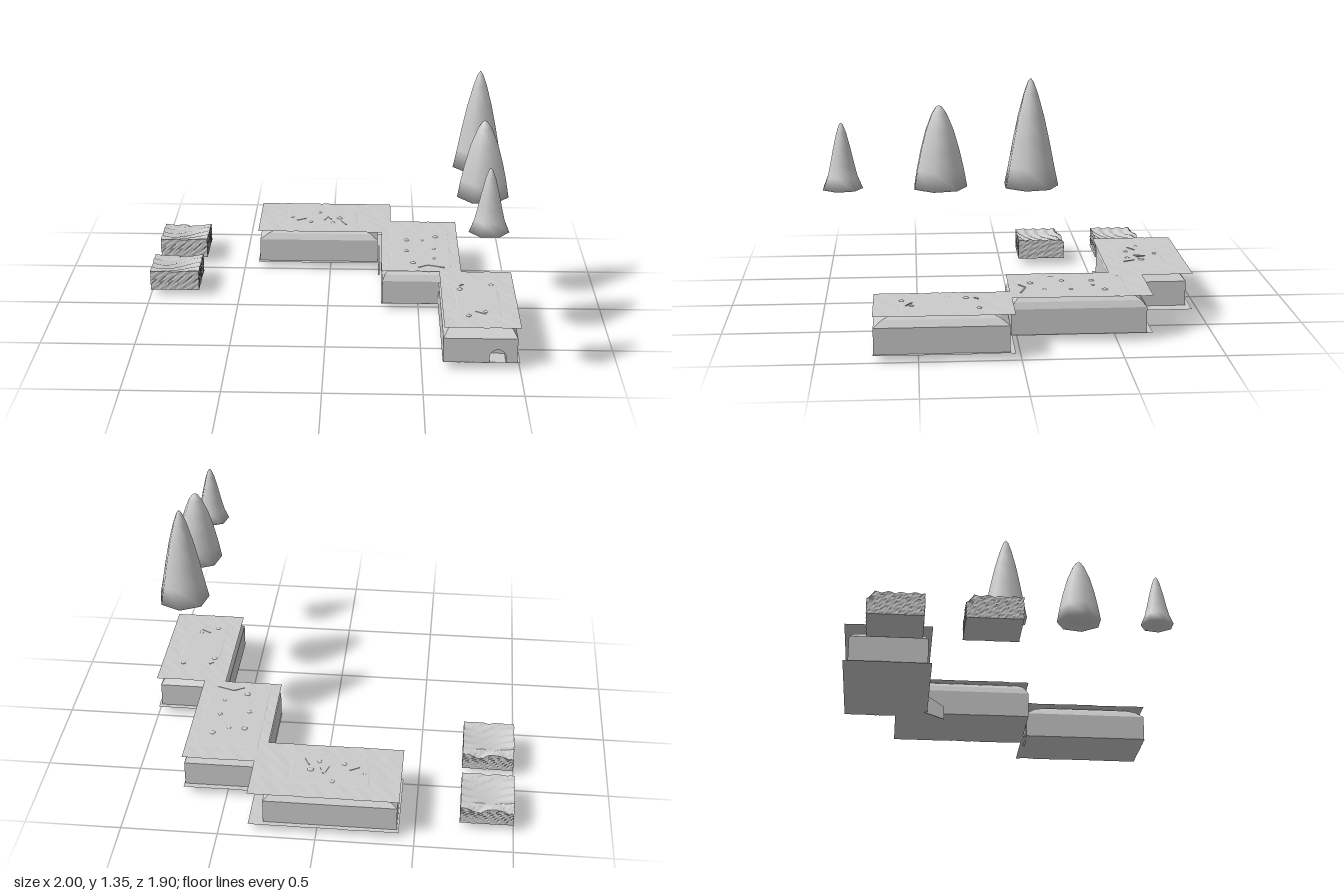
import * as THREE from 'three';

const mat = (extra = {}) => new THREE.MeshStandardMaterial({ color: 0xcccccc, ...extra });
const flat = mat({ flatShading: true });
const open = mat({ flatShading: true, side: THREE.DoubleSide });
const smooth = mat();

const FLOOR = 0.036, WALL = 0.17, ROOF = 0.231;

// Plate and room extents are [x0, x1, z0, z1]; inset is how far the vault steps in on each side
const rooms = [
  { name: 'backRoom', plate: [-0.42, 0.35, -0.95, -0.51], body: [-0.41, 0.275, -0.925, -0.53],
    inset: [0.16, 0.13, 0.09, 0.06], stones: [[0.05, -0.72, 1.1], [-0.12, -0.66, 0.8], [0.01, -0.65, 0.8], [-0.07, -0.81, 0.8], [-0.23, -0.73, 0.6]],
    ridges: [[-0.2, -0.68, -0.15, -0.71], [-0.04, -0.69, -0.02, -0.75], [-0.02, -0.75, 0, -0.7], [0.06, -0.68, 0.09, -0.62]] },
  { name: 'middleRoom', plate: [0.295, 0.73, -0.68, 0.035], body: [0.3, 0.725, -0.65, 0.035],
    inset: [0.05, 0.05, 0.09, 0.06], stones: [[0.44, -0.4, 1], [0.525, -0.4, 0.7], [0.605, -0.45, 1], [0.435, -0.245, 0.9], [0.59, -0.28, 0.7], [0.585, -0.145, 0.7], [0.47, -0.08, 1]],
    ridges: [[0.5, -0.02, 0.55, -0.05], [0.55, -0.05, 0.64, -0.02]] },
  { name: 'frontRoom', plate: [0.61, 1, 0.03, 0.72], body: [0.607, 0.985, 0.055, 0.718],
    inset: [0.08, 0.08, 0.15, 0.14], stones: [[0.71, 0.26, 1], [0.74, 0.58, 0.9], [0.88, 0.2, 0.8], [0.83, 0.53, 0.8]],
    ridges: [[0.71, 0.22, 0.73, 0.2], [0.78, 0.53, 0.83, 0.56]], arch: { x: 0.885, r: 0.042, h: 0.03 } },
];

const noise = (x, z) => Math.sin(x * 41 + z * 17) * Math.sin(z * 37 - x * 11) + 0.5 * Math.sin(x * 83 - z * 71);

function add(group, name, geometry, material) {
  const mesh = new THREE.Mesh(geometry, material);
  mesh.name = name;
  group.add(mesh);
  return mesh;
}

// Walls and stepped vault, lofted through rectangles
function vaultGeometry([x0, x1, z0, z1], [a, b, c, d], openFront) {
  const steps = [[FLOOR + 0.001, 0], [WALL, 0], [0.203, 0.3], [0.222, 0.65], [ROOF + 0.001, 1]];
  const rings = steps.map(([y, t]) => [
    [x0 + a * t, y, z1 - d * t], [x1 - b * t, y, z1 - d * t],
    [x1 - b * t, y, z0 + c * t], [x0 + a * t, y, z0 + c * t]]);
  const pos = [];
  const quad = (p, q, r, s) => pos.push(...p, ...q, ...r, ...p, ...r, ...s);
  for (let i = 0; i < rings.length - 1; i++) {
    for (let k = 0; k < 4; k++) {
      if (openFront && i === 0 && k === 0) continue;
      const n = (k + 1) % 4;
      quad(rings[i][k], rings[i][n], rings[i + 1][n], rings[i + 1][k]);
    }
  }
  quad(...rings[rings.length - 1]);
  quad(...[...rings[0]].reverse());
  const g = new THREE.BufferGeometry();
  g.setAttribute('position', new THREE.Float32BufferAttribute(pos, 3));
  g.computeVertexNormals();
  return g;
}

// Thin, slightly uneven sheet
function plateGeometry([x0, x1, z0, z1], y, amp) {
  const w = x1 - x0, d = z1 - z0;
  const g = new THREE.PlaneGeometry(w, d, Math.round(w * 50), Math.round(d * 50));
  g.rotateX(-Math.PI / 2).translate((x0 + x1) / 2, y, (z0 + z1) / 2);
  const p = g.attributes.position;
  for (let i = 0; i < p.count; i++) p.setY(i, y + amp * noise(p.getX(i), p.getZ(i)));
  g.computeVertexNormals();
  return g;
}

// Arch outline standing on the floor
function archPath(path, { x, r, h }) {
  path.moveTo(x - r, FLOOR + 0.002);
  path.lineTo(x + r, FLOOR + 0.002);
  path.lineTo(x + r, FLOOR + h);
  path.absarc(x, FLOOR + h, r, 0, Math.PI, false);
  path.lineTo(x - r, FLOOR + 0.002);
  return path;
}

// Front wall pierced by an arched doorway with a shallow passage behind
function archedWall(group, [x0, x1, , z1], arch) {
  const wall = new THREE.Shape();
  wall.moveTo(x0, FLOOR).lineTo(x1, FLOOR).lineTo(x1, WALL).lineTo(x0, WALL).closePath();
  wall.holes.push(archPath(new THREE.Path(), arch));
  add(group, 'doorwayWall', new THREE.ShapeGeometry(wall), open).position.z = z1;
  const outline = archPath(new THREE.Shape(), arch).getPoints(8);
  const pos = [], depth = 0.1;
  for (let i = 0; i < outline.length - 1; i++) {
    const p = outline[i], q = outline[i + 1];
    pos.push(p.x, p.y, z1, q.x, q.y, z1, q.x, q.y, z1 - depth);
    pos.push(p.x, p.y, z1, q.x, q.y, z1 - depth, p.x, p.y, z1 - depth);
  }
  const passage = new THREE.BufferGeometry();
  passage.setAttribute('position', new THREE.Float32BufferAttribute(pos, 3));
  passage.computeVertexNormals();
  add(group, 'doorwayPassage', passage, open);
  add(group, 'doorwayEnd', new THREE.ShapeGeometry(archPath(new THREE.Shape(), arch)), open).position.z = z1 - depth;
}

function buildRoom({ name, plate, body, inset, stones, ridges, arch }) {
  const room = new THREE.Group();
  room.name = name;
  add(room, 'vault', vaultGeometry(body, inset, !!arch), flat);
  if (arch) archedWall(room, body, arch);
  add(room, 'floorPlate', plateGeometry(plate, FLOOR, 0.0012), open);
  add(room, 'roofPlate', plateGeometry(plate, ROOF, 0.0012), open);
  // Pebbles and cracks on the roof
  for (const [x, z, s] of stones) {
    const m = add(room, 'stone', new THREE.SphereGeometry(0.016 * s, 10, 6), smooth);
    m.position.set(x, ROOF, z);
    m.scale.y = 0.45;
  }
  for (const [xa, za, xb, zb] of ridges) {
    const m = add(room, 'ridge', new THREE.BoxGeometry(Math.hypot(xb - xa, zb - za), 0.008, 0.008), flat);
    m.position.set((xa + xb) / 2, ROOF, (za + zb) / 2);
    m.rotation.y = -Math.atan2(zb - za, xb - xa);
  }
  return room;
}

// Rough block with a rippled, hollowed top
function blockGeometry(w, h, d) {
  const g = new THREE.BoxGeometry(w, h, d, 22, 10, 22);
  const p = g.attributes.position;
  for (let i = 0; i < p.count; i++) {
    const x = p.getX(i), y = p.getY(i), z = p.getZ(i);
    const u = 2 * x / w, v = 2 * z / d;
    const j = 0.004 * Math.abs(Math.sin(x * 311 + y * 457 + z * 233) * Math.sin(y * 391 - z * 173 + x * 127));
    const t = (y + h / 2) / h;
    const dip = 0.022 * (1 - u * u) * (1 - v * v) + 0.004 * (1 + Math.sin(v * 14 + u * 4 + 2 * Math.sin(u * 3)))
      + 0.035 * Math.max(0, -v - 0.75) * 4 * (0.7 + 0.3 * Math.sin(u * 5));
    p.setXYZ(i, x * (1 - j / w * 2), y - dip * t * t * t, z * (1 - j / d * 2));
  }
  g.computeVertexNormals();
  return g;
}

// Seven-sided conifer from [radius, height] points
function treeGeometry(profile) {
  return new THREE.LatheGeometry(profile.map(([r, y]) => new THREE.Vector2(r, y)), 7, Math.PI);
}

export function createModel() {
  const model = new THREE.Group();
  model.name = 'caveRooms';
  for (const r of rooms) model.add(buildRoom(r));

  // Slabs hanging in the gaps between rooms
  const slab = new THREE.Shape();
  slab.moveTo(-0.53, 0.036).lineTo(-0.42, 0).lineTo(-0.42, 0.07).lineTo(-0.53, 0.14).closePath();
  const slabGeo = new THREE.ExtrudeGeometry(slab, { depth: 0.008, bevelEnabled: false });
  slabGeo.rotateY(-Math.PI / 2);
  add(model, 'sidePassageSlab', slabGeo, flat).position.x = 0.286;
  add(model, 'frontPassageSlab', new THREE.BoxGeometry(0.09, 0.1, 0.012), flat).position.set(0.665, 0.06, 0.047);

  // Rough blocks
  for (const z of [-0.7, -0.242]) {
    add(model, 'roughBlock', blockGeometry(0.275, 0.115, 0.272), flat).position.set(-0.8625, 0.0935, z);
  }

  // Conifers floating above the rooms
  const trees = [
    ['tallTree', -0.053, [[0, 0], [0.136, 0], [0.115, 0.1], [0.092, 0.22], [0.066, 0.34], [0.036, 0.45], [0.014, 0.51], [0, 0.527]]],
    ['mediumTree', 0.387, [[0, 0], [0.134, 0], [0.118, 0.09], [0.098, 0.18], [0.07, 0.28], [0.037, 0.36], [0.015, 0.392], [0, 0.4]]],
    ['smallTree', 0.855, [[0, 0], [0.1, 0], [0.075, 0.06], [0.06, 0.12], [0.045, 0.19], [0.025, 0.27], [0.01, 0.31], [0, 0.32]]],
  ];
  for (const [name, z, profile] of trees) add(model, name, treeGeometry(profile), smooth).position.set(0.8, 0.82, z);
  return model;
}
